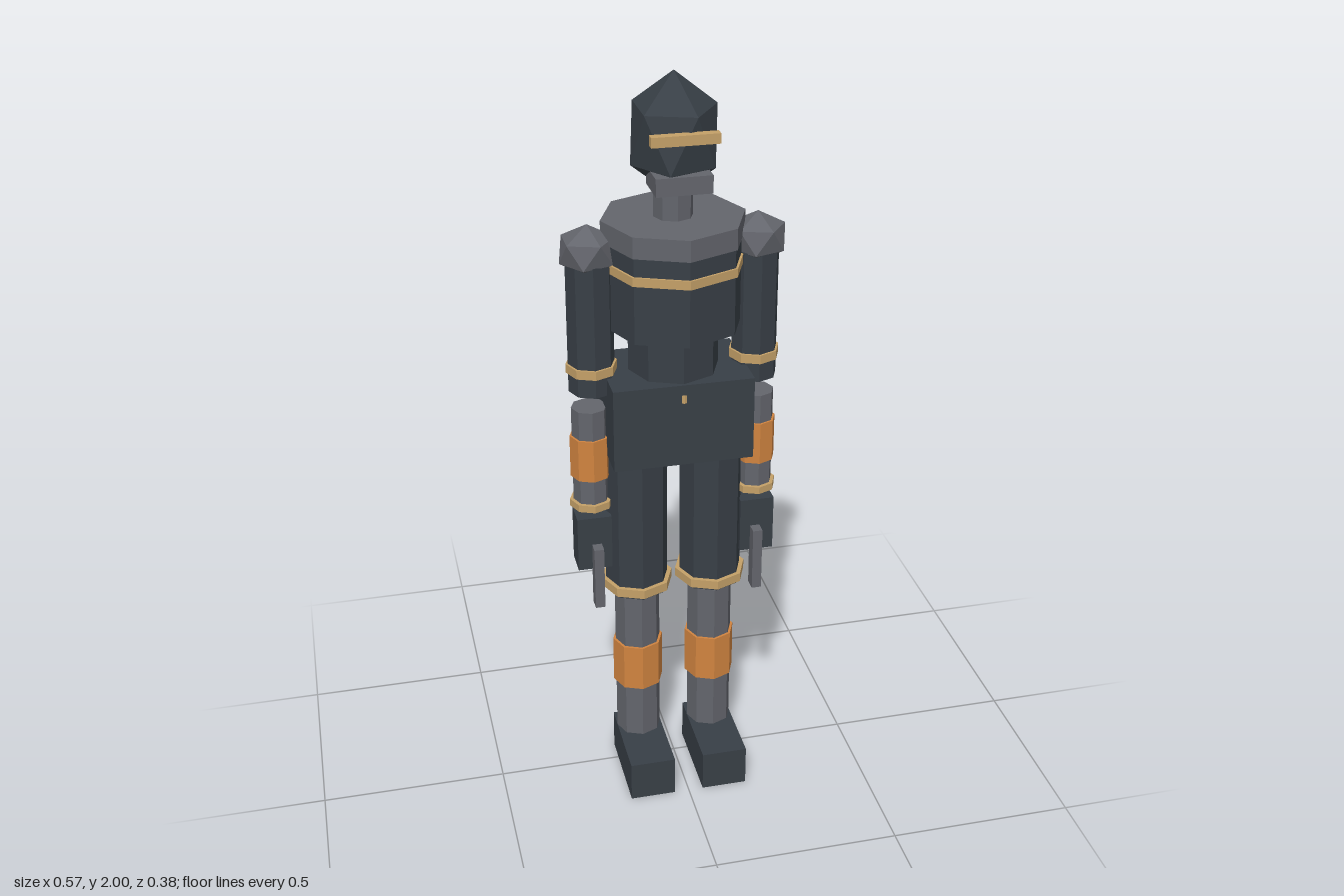
import * as THREE from 'three';

export function createModel() {
  const model = new THREE.Group();
  const mat = (name, color) => {
    const m = new THREE.MeshStandardMaterial({ color, flatShading: true });
    m.name = name;
    return m;
  };
  const dark = mat('dark armour', 0x383f46);
  const grey = mat('grey metal', 0x63656c);
  const gold = mat('gold trim', 0xc4a068);
  const orange = mat('orange guard', 0xd08440);
  const Z = -0.005; // body axis

  const add = (name, geo, material, x, y, z) => {
    const mesh = new THREE.Mesh(geo, material);
    mesh.name = name;
    mesh.position.set(x, y, z);
    model.add(mesh);
    return mesh;
  };
  // Box given by its centre in x and its y and z ranges
  const box = (name, m, x, w, y0, y1, z0, z1) =>
    add(name, new THREE.BoxGeometry(w, y1 - y0, z1 - z0), m, x, (y0 + y1) / 2, (z0 + z1) / 2);
  // Upright eight-sided prism
  const prism = (name, m, x, r, y0, y1) =>
    add(name, new THREE.CylinderGeometry(r, r, y1 - y0, 8), m, x, (y0 + y1) / 2, Z);
  // Icosahedron standing on one corner, stretched per axis
  const gem = (name, m, x, y, z, rx, ry, rz) => {
    const geo = new THREE.IcosahedronGeometry(1, 0);
    geo.rotateZ(-Math.atan(2 / (1 + Math.sqrt(5))));
    geo.scale(rx, ry, rz);
    return add(name, geo, m, x, y, z);
  };

  // Head
  gem('head', dark, 0, 1.845, 0, 0.12, 0.155, 0.13);
  box('visor', gold, 0, 0.167, 1.855, 1.88, 0.105, 0.129);
  box('jaw', grey, 0, 0.14, 1.73, 1.775, 0.005, 0.115);
  prism('neck', grey, 0, 0.05, 1.62, 1.71);

  // Torso
  prism('collar', grey, 0, 0.183, 1.585, 1.64);
  prism('chest', dark, 0, 0.179, 1.36, 1.585);
  prism('chestBand', gold, 0, 0.185, 1.515, 1.538);
  prism('waist', dark, 0, 0.118, 1.2, 1.36);
  box('hips', dark, 0, 0.365, 1.01, 1.235, -0.13, 0.12);
  prism('belt', gold, 0, 0.1278, 1.185, 1.207);

  for (const [side, s] of [['left', 1], ['right', -1]]) {
    // Arm
    const upper = s * 0.213, lower = s * 0.222;
    gem(side + 'Shoulder', grey, s * 0.216, 1.567, Z, 0.079, 0.067, 0.078);
    prism(side + 'UpperArm', dark, upper, 0.06, 1.19, 1.54);
    prism(side + 'ElbowBand', gold, upper, 0.066, 1.243, 1.267);
    prism(side + 'Forearm', grey, lower, 0.047, 0.855, 1.142);
    prism(side + 'ForearmGuard', orange, lower, 0.053, 0.945, 1.062);
    prism(side + 'WristBand', gold, lower, 0.057, 0.855, 0.875);
    box(side + 'Hand', dark, lower, 0.092, 0.675, 0.83, -0.04, 0.035);
    box(side + 'Rod', grey, s * 0.217, 0.026, 0.57, 0.75, 0.03, 0.067);

    // Leg
    const leg = s * 0.102;
    prism(side + 'Thigh', dark, leg, 0.085, 0.585, 1.03);
    prism(side + 'KneeBand', gold, leg, 0.097, 0.595, 0.62);
    prism(side + 'Shin', grey, leg, 0.062, 0.1, 0.57);
    prism(side + 'ShinGuard', orange, leg, 0.069, 0.277, 0.413);
    box(side + 'Foot', dark, leg, 0.124, 0, 0.115, -0.06, 0.188);
  }
  return model;
}
